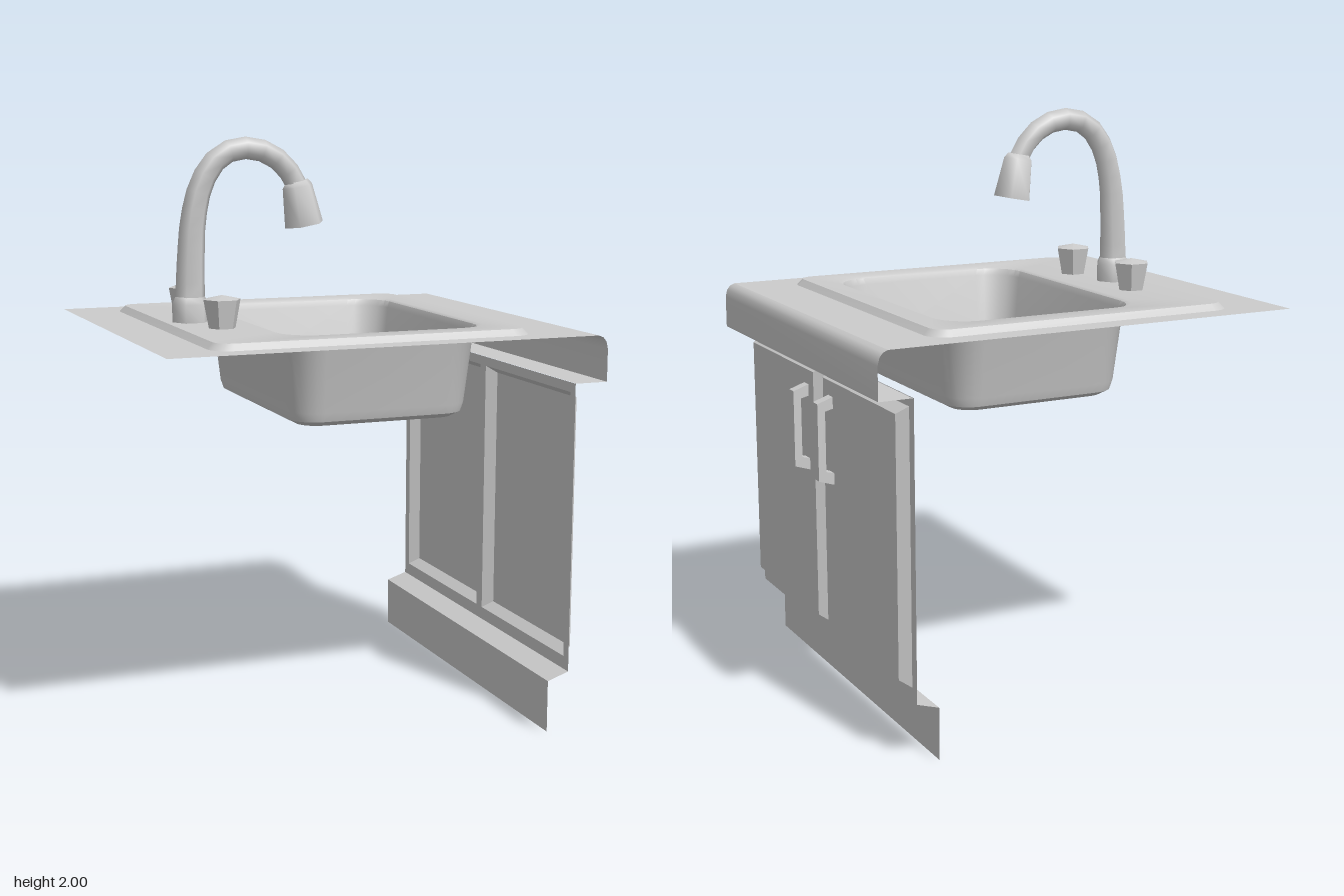
import * as THREE from 'three';
import { toCreasedNormals } from 'three/addons/utils/BufferGeometryUtils.js';

const grey = new THREE.MeshStandardMaterial({ color: 0xcccccc, side: THREE.DoubleSide });
const WIDTH = 0.685; // half width of counter and cabinet

function add(parent, name, geometry) {
  const mesh = new THREE.Mesh(geometry, grey);
  mesh.name = name;
  parent.add(mesh);
  return mesh;
}

// Skin a list of equal-length rings of [x, y, z] points
function loft(rings, closed = true, crease = 0.7) {
  const n = rings[0].length;
  const index = [];
  for (let k = 0; k < rings.length - 1; k++) {
    for (let i = 0; i < (closed ? n : n - 1); i++) {
      const j = (i + 1) % n;
      const a = k * n + i, b = k * n + j, c = a + n, d = b + n;
      index.push(a, c, b, b, c, d);
    }
  }
  const g = new THREE.BufferGeometry();
  g.setAttribute('position', new THREE.Float32BufferAttribute(rings.flat(2), 3));
  g.setIndex(index);
  return toCreasedNormals(g, crease);
}

// Horizontal rounded rectangle ring
function rectRing(cx, hx, hz, y, r = 0, steps = 0) {
  const ring = [];
  [[1, 1], [-1, 1], [-1, -1], [1, -1]].forEach(([sx, sz], q) => {
    for (let s = 0; s <= steps; s++) {
      const a = (q + (steps ? s / steps : 0)) * Math.PI / 2;
      ring.push([cx + sx * (hx - r) + r * Math.cos(a), y, sz * (hz - r) + r * Math.sin(a)]);
    }
  });
  return ring;
}

// Sheet swept across the full width from an (x, y) profile
const sweep = (profile) =>
  loft([-WIDTH, WIDTH].map((z) => profile.map(([x, y]) => [x, y, z])), false);

function rectPath(x0, y0, x1, y1) {
  return [[x0, y0], [x1, y0], [x1, y1], [x0, y1]].map(([x, y]) => new THREE.Vector2(x, y));
}

// Six-sided tapered cylinder with a corner on the x axis
function hexGeometry(points) {
  const g = new THREE.LatheGeometry(points.map(([r, y]) => new THREE.Vector2(r, y)), 6);
  g.rotateY(Math.PI / 2);
  return g;
}

function makeCounter(parent) {
  // Flat top with an opening for the sink
  const top = new THREE.Shape(rectPath(-0.76, -WIDTH, 0.725, WIDTH));
  top.holes.push(new THREE.Path(rectPath(-0.55, -0.57, 0.5, 0.57)));
  add(parent, 'counterTop', new THREE.ShapeGeometry(top).rotateX(-Math.PI / 2).translate(0, 1.357, 0));
  // Rounded front lip and its return to the cabinet
  add(parent, 'counterLip', sweep([[0.725, 1.357], [0.742, 1.35], [0.754, 1.335], [0.76, 1.31],
    [0.76, 1.2], [0.645, 1.2]]));
}

function makeSink(parent) {
  const rings = [
    [-0.025, 0.56, 0.6, 1.357, 0.07],
    [-0.025, 0.54, 0.58, 1.378, 0.055],
    [0.065, 0.367, 0.493, 1.378, 0.12],
    [0.065, 0.355, 0.482, 1.372, 0.12],
    [0.065, 0.346, 0.474, 1.35, 0.12],
    [0.065, 0.32, 0.443, 1.11, 0.1],
    [0.065, 0.31, 0.433, 1.08, 0.09],
    [0.065, 0.28, 0.405, 1.063, 0.07],
    [0.065, 0, 0, 1.06, 0],
  ].map(([cx, hx, hz, y, r]) => rectRing(cx, hx, hz, y, r, 6));
  add(parent, 'sinkBasin', loft(rings));
}

function makeFaucet(parent) {
  const faucet = new THREE.Group();
  faucet.name = 'faucet';
  parent.add(faucet);

  const base = hexGeometry([[0.064, 1.37], [0.064, 1.44], [0.052, 1.465], [0, 1.465]]);
  add(faucet, 'faucetBase', toCreasedNormals(base.translate(-0.477, 0, 0), 1.1));

  // Tapered gooseneck, six sides
  const path = new THREE.CatmullRomCurve3([[-0.477, 1.45], [-0.472, 1.6], [-0.46, 1.74], [-0.425, 1.86],
    [-0.36, 1.94], [-0.275, 1.964], [-0.19, 1.945], [-0.125, 1.895], [-0.085, 1.83]]
    .map(([x, y]) => new THREE.Vector3(x, y, 0)));
  const rings = [];
  for (let k = 0; k <= 14; k++) {
    const t = k / 14, p = path.getPointAt(t), d = path.getTangentAt(t);
    const r = 0.053 - 0.015 * Math.min(1, t * 1.5);
    rings.push(Array.from({ length: 6 }, (_, i) => {
      const a = i * Math.PI / 3, u = r * Math.cos(a);
      return [p.x + d.y * u, p.y - d.x * u, r * Math.sin(a)];
    }));
  }
  add(faucet, 'faucetNeck', loft(rings, true, 1.2));

  // Spray head, tilted outward
  const head = hexGeometry([[0, -0.075], [0.071, -0.075], [0.055, 0.06], [0.042, 0.078], [0, 0.078]]);
  const spray = add(faucet, 'sprayHead', toCreasedNormals(head, 1.1));
  spray.position.set(-0.074, 1.772, 0);
  spray.rotation.z = 0.18;

  for (const side of [-1, 1]) {
    const knob = hexGeometry([[0.046, 1.375], [0.065, 1.474], [0, 1.488]]);
    add(faucet, 'tapKnob', toCreasedNormals(knob, 0.3)).position.set(-0.428, 0, side * 0.203);
  }
}

function makeCabinet(parent) {
  const cabinet = new THREE.Group();
  cabinet.name = 'cabinet';
  parent.add(cabinet);

  // Face frame with two door openings
  const face = new THREE.Shape(rectPath(-WIDTH, 0.205, WIDTH, 1.2));
  for (const s of [-1, 1]) {
    const hole = rectPath(s * 0.022, 0.25, s * 0.65, 1.167);
    face.holes.push(new THREE.Path(hole));
  }
  add(cabinet, 'faceFrame', new THREE.ShapeGeometry(face).rotateY(Math.PI / 2).translate(0.642, 0, 0));
  add(cabinet, 'toeKick', sweep([[0.642, 0.205], [0.565, 0.18], [0.565, 0]]));

  // Handle side outline, mounting feet at x = 0
  const handle = new THREE.Shape([[0, 0.79], [0.055, 0.808], [0.055, 1.073], [0, 1.092], [0, 1.052],
    [0.028, 1.045], [0.028, 0.838], [0, 0.83]].map(([x, y]) => new THREE.Vector2(x, y)));

  for (const s of [-1, 1]) {
    // Bevelled door panel
    const door = loft([rectRing(0, 0.4585, 0.314, 0), rectRing(0, 0.434, 0.292, 0.037),
      rectRing(0, 0, 0, 0.037)], true, 0.3);
    door.rotateZ(-Math.PI / 2);
    add(cabinet, 'door', door).position.set(0.642, 0.7085, s * 0.336);

    const grip = new THREE.ExtrudeGeometry(handle, { depth: 0.038, bevelEnabled: false });
    add(cabinet, 'doorHandle', grip).position.set(0.679, 0, s * 0.108 - 0.019);
  }
}

export function createModel() {
  const model = new THREE.Group();
  model.name = 'kitchenSinkCabinet';
  makeCounter(model);
  makeSink(model);
  makeFaucet(model);
  makeCabinet(model);
  return model;
}
